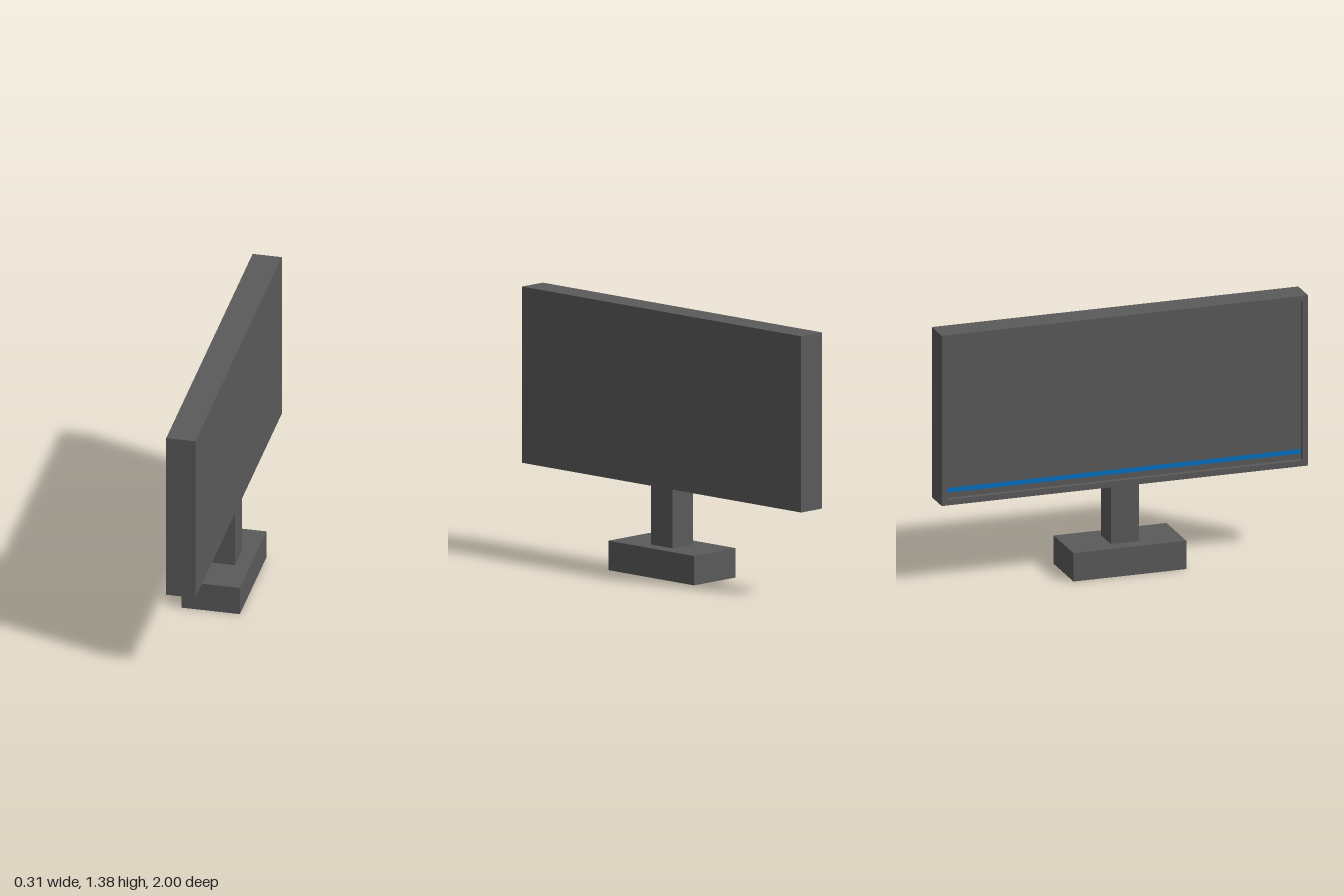
import * as THREE from 'three';

const U = 1 / 13;          // modelling unit
const BORDER = 0.031;      // bezel width
const RECESS = 0.026;      // depth of the screen behind the bezel

export function createModel() {
  const model = new THREE.Group();
  const casing = new THREE.MeshStandardMaterial({ color: 0x5a5a5a });
  casing.name = 'grey casing';
  const blue = new THREE.MeshStandardMaterial({ color: 0x0070c0 });
  blue.name = 'blue strip';

  const add = (name, geometry, material, x, y, z = 0) => {
    const mesh = new THREE.Mesh(geometry, material);
    mesh.name = name;
    mesh.position.set(x, y, z);
    model.add(mesh);
    return mesh;
  };
  const box = (name, material, w, h, d, x, y) =>
    add(name, new THREE.BoxGeometry(w, h, d), material, x, y);

  // Stand
  box('base', casing, 4 * U, 2 * U, 8 * U, 0, U);
  box('neck', casing, 2 * U, 4 * U, 2 * U, 0, 4 * U);

  // Panel: solid rear housing whose -x face is the recessed screen
  const H = 12 * U, midY = 12 * U;
  box('rearHousing', casing, 2 * U - RECESS, H, 2, RECESS / 2, midY);

  // Bezel: rectangular frame around the screen, facing -x
  const rectangle = (path, w, h) => path.moveTo(-w, -h).lineTo(w, -h).lineTo(w, h).lineTo(-w, h).closePath();
  const frame = rectangle(new THREE.Shape(), 1, H / 2);
  frame.holes.push(rectangle(new THREE.Path(), 1 - BORDER, H / 2 - BORDER));
  const bezel = new THREE.ExtrudeGeometry(frame, { depth: RECESS, bevelEnabled: false });
  bezel.rotateY(-Math.PI / 2);
  add('bezel', bezel, casing, -U + RECESS, midY);

  // Thin blue strip along the lower part of the screen
  box('screenStrip', blue, 0.004, 0.024, 2 - 2 * BORDER, -U + RECESS - 0.001, 6 * U + BORDER + 0.042);

  return model;
}
